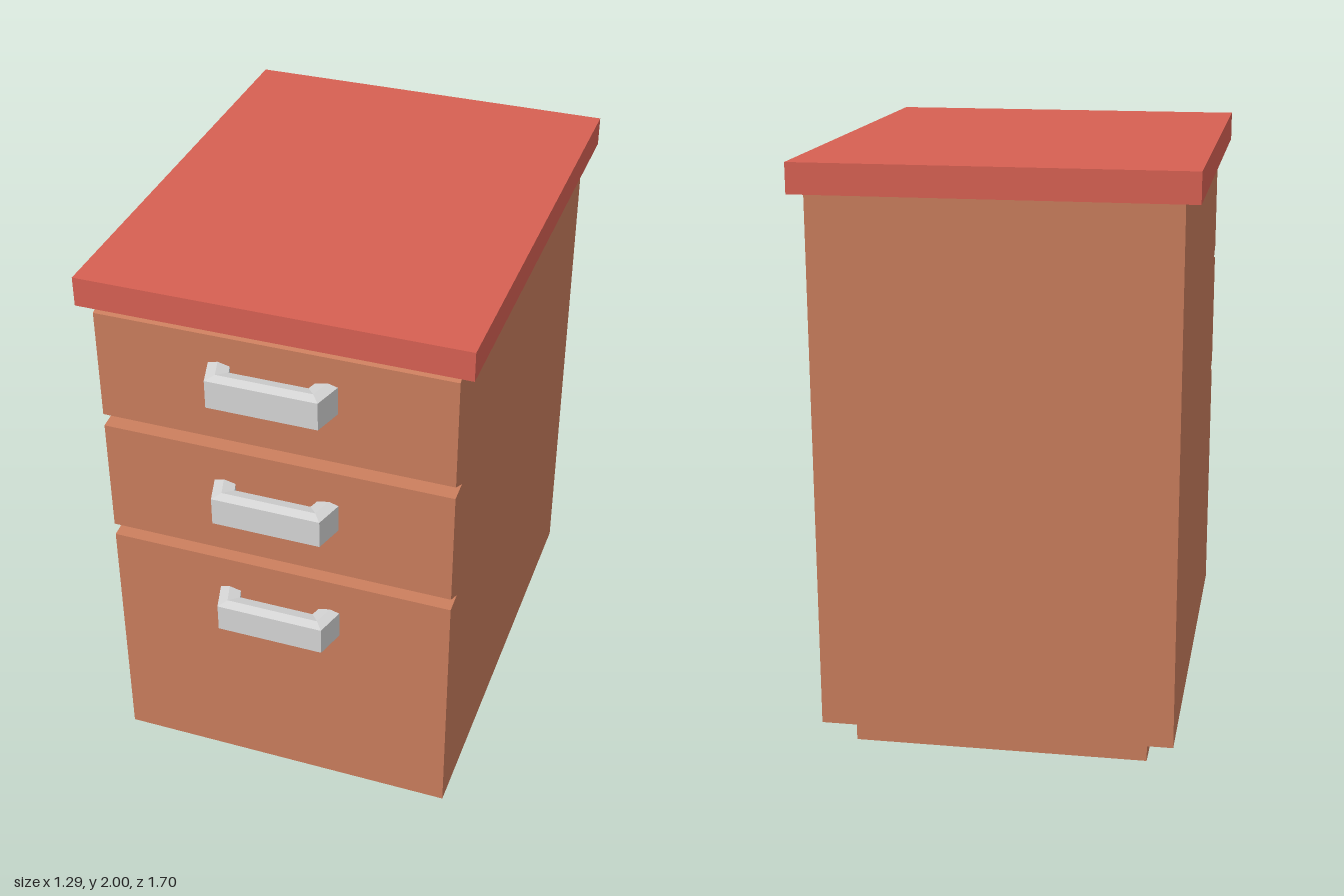
import * as THREE from 'three';

const wood = new THREE.MeshStandardMaterial({ name: 'wood', color: 0xc87c5c });
const redTop = new THREE.MeshStandardMaterial({ name: 'redTop', color: 0xd66052 });
const metal = new THREE.MeshStandardMaterial({ name: 'metal', color: 0xd4d4d4 });

// Box given by its lower and upper limits on each axis
function slab(name, material, [x0, x1], [y0, y1], [z0, z1]) {
  const geo = new THREE.BoxGeometry(x1 - x0, y1 - y0, z1 - z0);
  geo.translate((x0 + x1) / 2, (y0 + y1) / 2, (z0 + z1) / 2);
  const mesh = new THREE.Mesh(geo, material);
  mesh.name = name;
  return mesh;
}

// Cabinet body: side profile (z, y) with V grooves between drawers
function bodyGeometry() {
  const profile = [
    [-0.82, 0.1], [0.75, 0.1],
    [0.75, 0.985], [0.68, 0.993], [0.75, 1.03],
    [0.75, 1.44], [0.68, 1.448], [0.75, 1.485],
    [0.75, 1.87], [0.68, 1.9], [-0.82, 1.9],
  ];
  const shape = new THREE.Shape(profile.map(([z, y]) => new THREE.Vector2(z, y)));
  const geo = new THREE.ExtrudeGeometry(shape, { depth: 1.19, bevelEnabled: false });
  geo.rotateY(-Math.PI / 2);
  geo.translate(0.595, 0, 0);
  return geo;
}

// Handle: a six-sided section swept through two feet and two corners
function handleGeometry() {
  const half = 0.049, ridge = 0.058;
  // outer x, outer z, inner x, inner z
  const stations = [
    [-0.213, 0.75, -0.14, 0.75], [-0.184, 0.85, -0.13, 0.782],
    [0.184, 0.85, 0.13, 0.782], [0.213, 0.75, 0.14, 0.75],
  ];
  const rings = stations.map(([ox, oz, ix, iz]) => {
    const mx = ox + (ix - ox) * 0.45, mz = oz + (iz - oz) * 0.45;
    return [
      [ox, half, oz], [mx, ridge, mz], [ix, half, iz],
      [ix, -half, iz], [mx, -ridge, mz], [ox, -half, oz],
    ];
  });
  const pos = [];
  const tri = (a, b, c) => pos.push(...a, ...b, ...c);
  for (let s = 0; s < rings.length - 1; s++) {
    for (let i = 0; i < 6; i++) {
      const j = (i + 1) % 6;
      const a = rings[s][i], b = rings[s][j], c = rings[s + 1][j], d = rings[s + 1][i];
      tri(a, d, c);
      tri(a, c, b);
    }
  }
  const geo = new THREE.BufferGeometry();
  geo.setAttribute('position', new THREE.Float32BufferAttribute(pos, 3));
  geo.computeVertexNormals();
  return geo;
}

export function createModel() {
  const model = new THREE.Group();
  model.name = 'drawerCabinet';

  const body = new THREE.Mesh(bodyGeometry(), wood);
  body.name = 'cabinetBody';
  model.add(body);
  model.add(slab('plinth', wood, [-0.5, 0.5], [0, 0.1], [-0.73, 0.595]));
  model.add(slab('topPanel', redTop, [-0.643, 0.643], [1.9, 2], [-0.85, 0.772]));

  // One handle per drawer
  const handleGeo = handleGeometry();
  ['lower', 'middle', 'upper'].forEach((drawer, i) => {
    const handle = new THREE.Mesh(handleGeo, metal);
    handle.name = drawer + 'Handle';
    handle.position.y = 0.81 + i * 0.455;
    model.add(handle);
  });
  return model;
}
